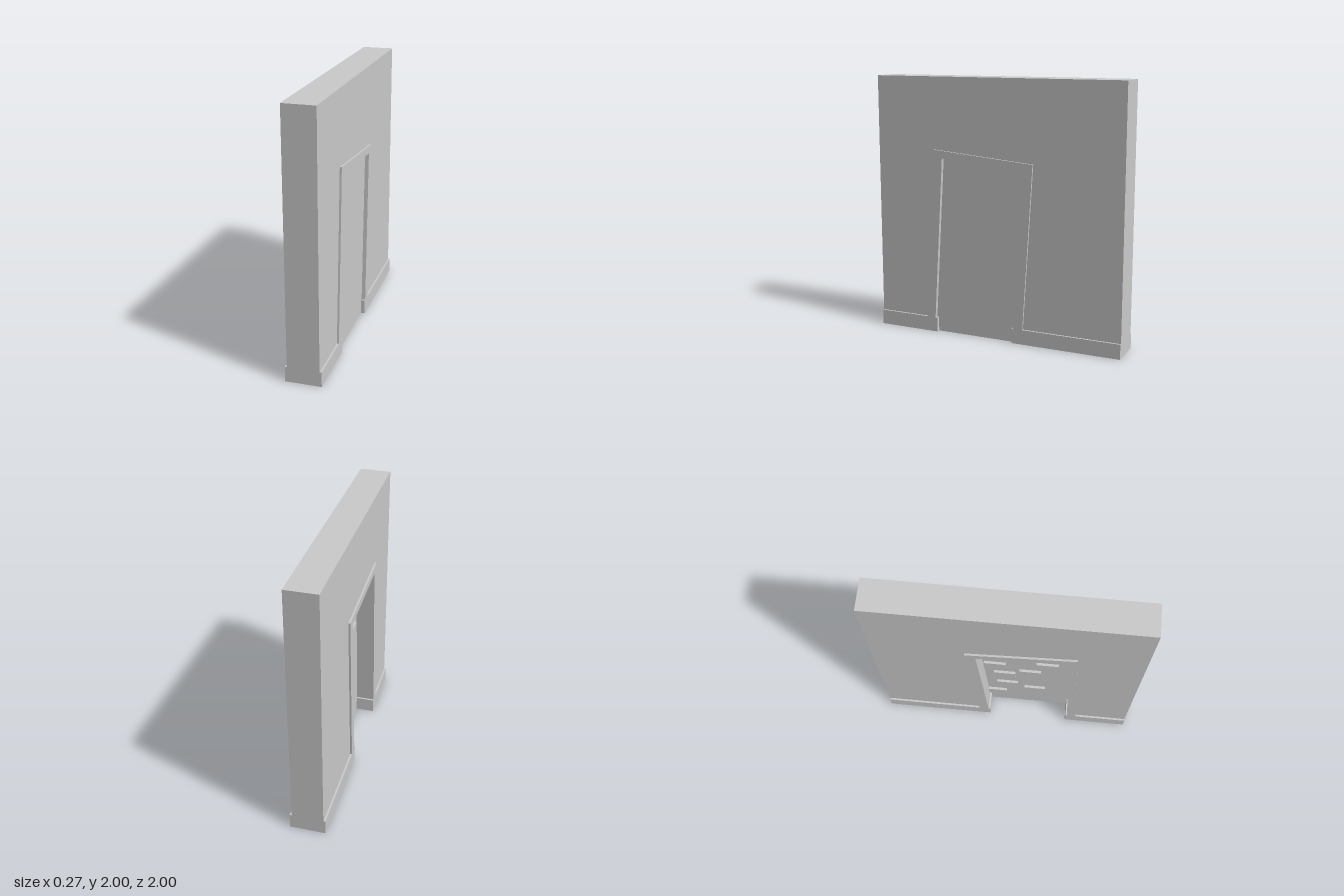
import * as THREE from 'three';

const material = new THREE.MeshStandardMaterial({ color: 0xcccccc, flatShading: true });

export function createModel() {
  const group = new THREE.Group();
  group.name = 'wallWithBlockedDoorway';

  const add = (name, geometry) => {
    const mesh = new THREE.Mesh(geometry, material);
    mesh.name = name;
    group.add(mesh);
  };

  // Extrude a [z, y] outline along x, from x0 to x1
  const slab = (name, points, x0, x1) => {
    const shape = new THREE.Shape(points.map(([z, y]) => new THREE.Vector2(z, y)));
    const geometry = new THREE.ExtrudeGeometry(shape, { depth: x1 - x0, bevelEnabled: false });
    geometry.rotateY(-Math.PI / 2).translate(x1, 0, 0);
    add(name, geometry);
  };

  const box = (name, x0, x1, y0, y1, z0, z1) => {
    const geometry = new THREE.BoxGeometry(x1 - x0, y1 - y0, z1 - z0);
    geometry.translate((x0 + x1) / 2, (y0 + y1) / 2, (z0 + z1) / 2);
    add(name, geometry);
  };

  const wallX = 0.12, trimX = 0.135, baseY = 0.115;

  // Leaning doorway outlines: foot, two top corners, foot
  const outer = [[-0.23, baseY], [-0.305, 1.38], [0.505, 1.448], [0.585, baseY]];
  const inner = [[-0.155, baseY], [-0.225, 1.33], [0.44, 1.385], [0.515, baseY]];
  const middle = outer.map(([z, y], i) => [(z + inner[i][0]) / 2, (y + inner[i][1]) / 2]);

  // Wall with the doorway cut out of its lower edge
  slab('wall', [[-1, baseY], ...middle, [1, baseY], [1, 2], [-1, 2]], -wallX, wallX);

  // Door surround, standing slightly proud on both faces
  slab('doorFrame', [...outer, ...inner.slice().reverse()], -trimX, trimX);

  // Skirting on either side of the doorway
  box('skirtingBack', -trimX, trimX, 0, baseY, -1, -0.14);
  box('skirtingFront', -trimX, trimX, 0, baseY, 0.5, 1);

  // Infill that blocks the doorway, shallow on one face and deep on the other
  const infillX = 0.01;
  slab('doorwayInfill', [[-0.15, 0], ...middle, [0.51, 0]], infillX, 0.105);

  // Loose bricks showing on the deep side: [z of far end, y of top]
  const bricks = [
    [0.128, 1.12], [0.388, 0.96], [0.258, 0.777], [0.057, 0.704],
    [0.08, 0.484], [0.305, 0.397], [-0.02, 0.9], [-0.01, 0.27],
  ];
  for (const [z, y] of bricks) {
    box('brick', infillX - 0.02, infillX + 0.02, y - 0.075, y, z - 0.17, z);
  }

  return group;
}
